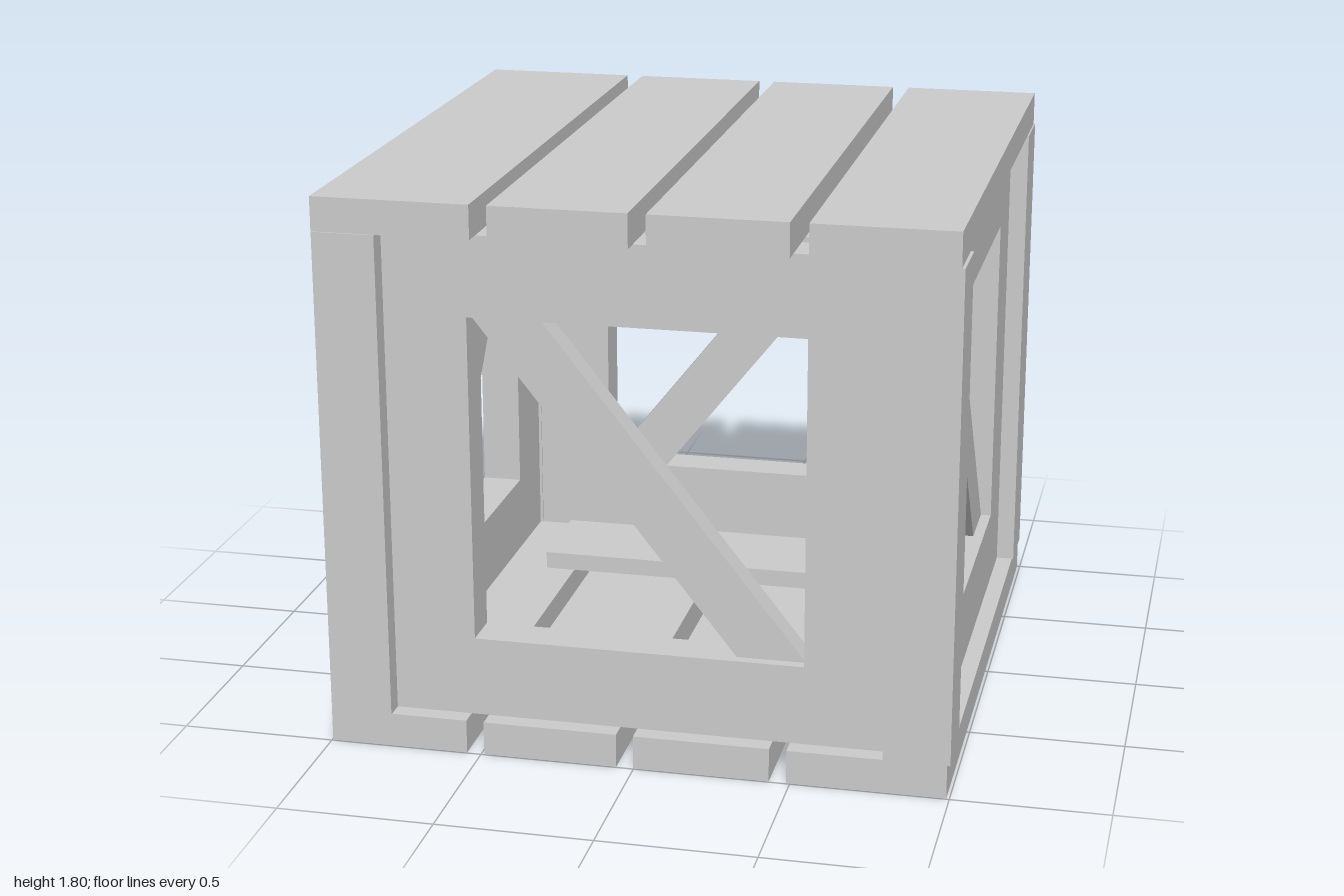
import * as THREE from 'three';

export function createModel() {
  const crate = new THREE.Group();
  crate.name = 'crate';
  const material = new THREE.MeshStandardMaterial({ color: 0xcccccc, flatShading: true });

  const add = (parent, name, geometry) => {
    const mesh = new THREE.Mesh(geometry, material);
    mesh.name = name;
    parent.add(mesh);
    return mesh;
  };

  // box given by its extents along each axis
  const box = (parent, name, [x0, x1], [y0, y1], [z0, z1]) =>
    add(parent, name, new THREE.BoxGeometry(x1 - x0, y1 - y0, z1 - z0))
      .position.set((x0 + x1) / 2, (y0 + y1) / 2, (z0 + z1) / 2);

  // flat outline extruded from z0 to z1
  const plate = (parent, name, shape, z0, z1) => {
    const geometry = new THREE.ExtrudeGeometry(shape, { depth: z1 - z0, bevelEnabled: false });
    add(parent, name, geometry.translate(0, 0, z0));
  };
  const outline = (points) => new THREE.Shape(points.map(([x, y]) => new THREE.Vector2(x, y)));
  const rect = (w, y0, y1) => outline([[-w, y0], [w, y0], [w, y1], [-w, y1]]);

  const low = 0.11, high = 1.69, height = 1.8;

  // four identical sides, each with a corner post, a window frame and a brace
  const frame = rect(0.795, low, high);
  frame.holes.push(rect(0.53, 0.37, 1.43));
  const brace = outline([[-0.53, 1.43], [0.31, 0.37], [0.53, 0.37], [-0.31, 1.43]]);
  for (let i = 0; i < 4; i++) {
    const side = new THREE.Group();
    side.name = 'side';
    side.rotation.y = i * Math.PI / 2;
    box(side, 'cornerPost', [0.79, 1], [low, high], [0.795, 0.995]);
    plate(side, 'windowFrame', frame, 0.8, 0.935);
    plate(side, 'diagonalBrace', brace, 0.81, 0.9);
    crate.add(side);
  }

  // slats and cross battens of the lid; the floor is the same, turned over
  const slats = [[-0.997, -0.495], [-0.44, -0.005], [0.05, 0.483], [0.54, 0.99]];
  const battens = [[-0.68, -0.34], [0.41, 0.74]];
  const lid = new THREE.Group();
  lid.name = 'lid';
  for (const x of slats) box(lid, 'lidSlat', x, [high, height], [-0.995, 0.995]);
  for (const z of battens) box(lid, 'lidBatten', [-0.65, 0.65], [high - 0.06, high], z);
  crate.add(lid);

  const floor = new THREE.Group();
  floor.name = 'floor';
  const flip = ([a, b]) => [-0.007 - b, -0.007 - a];
  for (const x of slats) box(floor, 'floorSlat', flip(x), [0, low], [-0.995, 0.995]);
  for (const z of battens) box(floor, 'floorBatten', [-0.65, 0.65], [low, low + 0.06], z);
  crate.add(floor);

  return crate;
}
